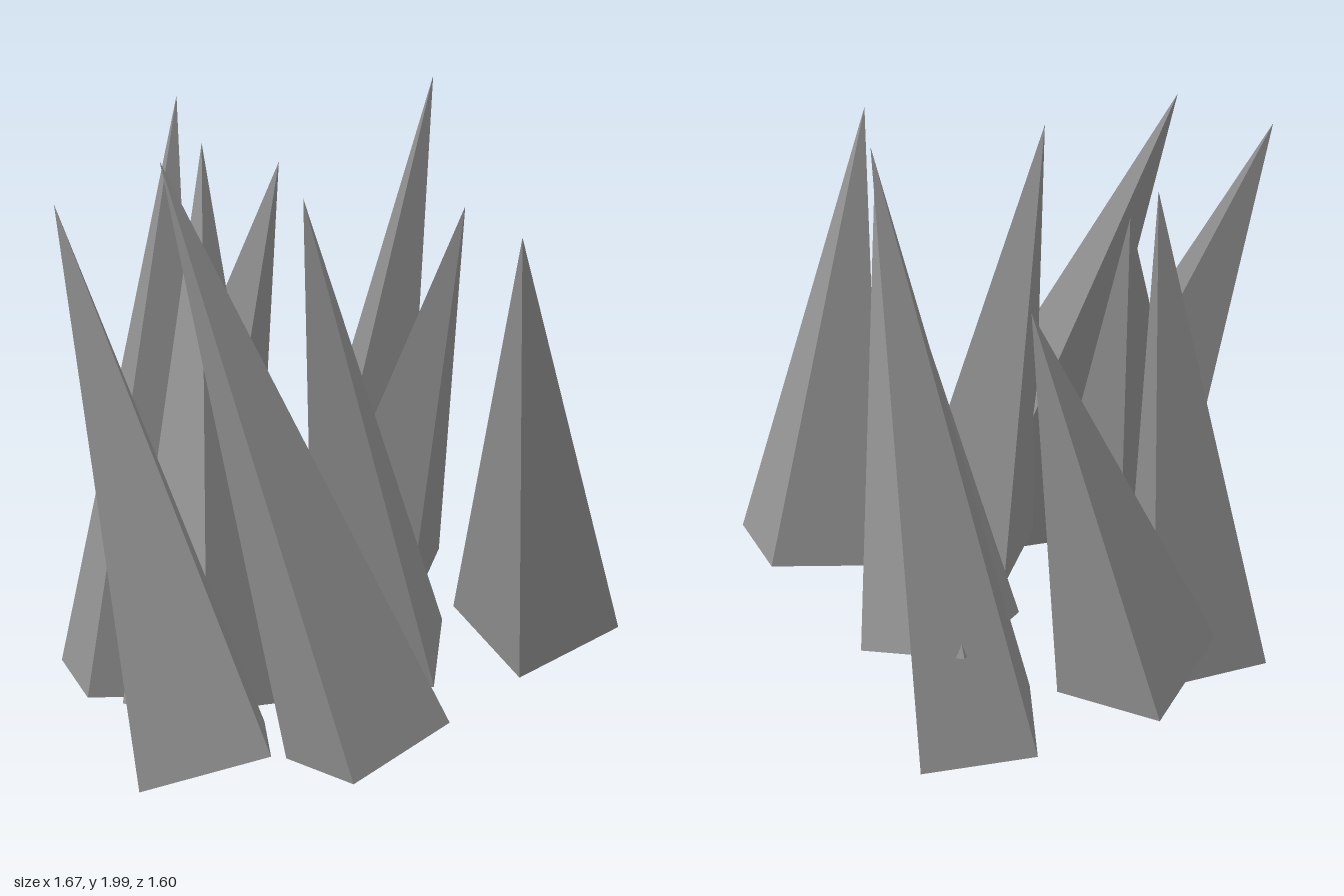
import * as THREE from 'three';

const stone = new THREE.MeshStandardMaterial({ color: 0x909090, flatShading: true });
stone.name = 'stoneGrey';

// Each spike: apex, then two opposite corners of its square base
const SPIKES = [
  ['frontRightSpike', [-0.79, 1.77, 0.085], [-0.84, 0.27, 0.67], [-0.36, 0.28, 0.47]],
  ['frontMiddleSpike', [-0.515, 1.875, 0.175], [-0.22, 0.17, 0.75], [0.10, 0.17, 0.35]],
  ['frontLeftSpike', [0.275, 1.70, 0.76], [0.83, 0.345, 0.57], [0.46, 0.345, 0.20]],
  ['centreSpike', [-0.157, 1.765, 0.33], [0.10, 0.285, 0.03], [0.175, 0.285, 0.54]],
  ['leftSpike', [0.38, 1.68, 0.32], [0.645, 0.36, -0.18], [0.13, 0.36, -0.19]],
  ['tallLeftSpike', [0.485, 1.995, -0.035], [0.10, 0.045, -0.205], [0.553, 0.05, -0.45]],
  ['backSpike', [0.20, 1.675, -0.49], [-0.08, 0.375, -0.805], [-0.15, 0.37, -0.30]],
  ['backRightSpike', [-0.183, 1.93, -0.427], [-0.68, 0.17, -0.09], [-0.257, 0.07, -0.39]],
  ['innerRightSpike', [-0.15, 1.80, -0.325], [-0.65, 0.238, 0.115], [-0.19, 0.242, 0.353]],
];

// Four-sided cone turned so its tip and one base corner meet the given points
function makeSpike(name, tip, cornerA, cornerB) {
  const apex = new THREE.Vector3(...tip);
  const a = new THREE.Vector3(...cornerA);
  const b = new THREE.Vector3(...cornerB);
  const centre = a.clone().add(b).multiplyScalar(0.5);
  const axis = apex.clone().sub(centre);
  const height = axis.length();
  axis.normalize();
  const side = axis.clone().cross(a.clone().sub(centre)).normalize();
  const toCorner = side.clone().cross(axis);

  const mesh = new THREE.Mesh(new THREE.ConeGeometry(a.distanceTo(b) / 2, height, 4), stone);
  mesh.name = name;
  mesh.quaternion.setFromRotationMatrix(new THREE.Matrix4().makeBasis(side, axis, toCorner));
  mesh.position.copy(centre).addScaledVector(axis, height / 2);
  return mesh;
}

export function createModel() {
  const group = new THREE.Group();
  group.name = 'spikeCluster';
  for (const spike of SPIKES) group.add(makeSpike(...spike));
  return group;
}
